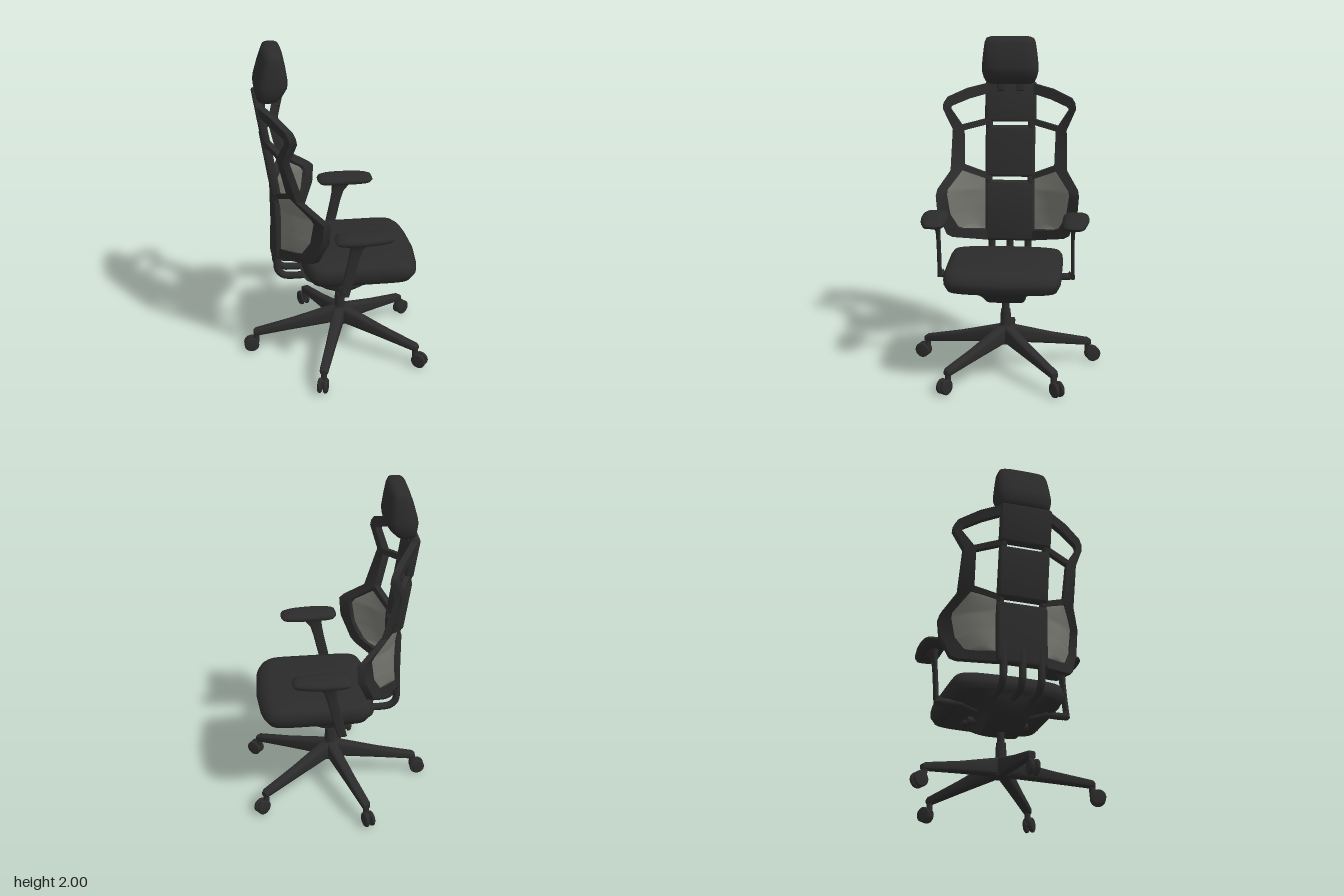
import * as THREE from 'three';
import { toCreasedNormals } from 'three/addons/utils/BufferGeometryUtils.js';
import { RoundedBoxGeometry } from 'three/addons/geometries/RoundedBoxGeometry.js';
import { ParametricGeometry } from 'three/addons/geometries/ParametricGeometry.js';

const V = (x, y, z) => new THREE.Vector3(x, y, z);

// Piecewise linear lookup in rows of [key, value, ...], keys ascending
function lookup(rows, key, col) {
  let i = 0;
  while (i < rows.length - 2 && key > rows[i + 1][0]) i++;
  const a = rows[i], b = rows[i + 1];
  const t = THREE.MathUtils.clamp((key - a[0]) / (b[0] - a[0]), 0, 1);
  return a[col] + (b[col] - a[col]) * t;
}

// Back surface: [height, x on the centre panel, forward slope of the wings]
const BACK = [
  [0.72, -0.30, 0.78], [0.785, -0.30, 0.78], [0.945, -0.295, 0.84], [1.06, -0.30, 0.86],
  [1.18, -0.32, 0.57], [1.43, -0.36, 0.4], [1.57, -0.385, 0.56], [1.7, -0.405, 0.56],
];
const backX = (y, z = 0) =>
  lookup(BACK, y, 1) + lookup(BACK, y, 2) * Math.max(0, Math.abs(z) - 0.15);

// Closed skin over equal-sized rings of points, turned to face outwards
function skin(rings, crease = 0.6) {
  const n = rings[0].length, pos = [], idx = [];
  for (const ring of rings) for (const p of ring) pos.push(p.x, p.y, p.z);
  for (let r = 0; r < rings.length - 1; r++) {
    for (let i = 0; i < n; i++) {
      const a = r * n + i, c = r * n + (i + 1) % n;
      idx.push(a, a + n, c, c, a + n, c + n);
    }
  }
  [0, rings.length - 1].forEach((r, end) => {
    const mid = rings[r].reduce((s, p) => s.add(p), V(0, 0, 0)).divideScalar(n);
    const m = pos.length / 3;
    pos.push(mid.x, mid.y, mid.z);
    for (let i = 0; i < n; i++) {
      const a = r * n + i, b = r * n + (i + 1) % n;
      idx.push(m, end ? b : a, end ? a : b);
    }
  });
  const pt = (i) => V(pos[3 * i], pos[3 * i + 1], pos[3 * i + 2]);
  let volume = 0;
  for (let i = 0; i < idx.length; i += 3) {
    volume += pt(idx[i]).dot(pt(idx[i + 1]).cross(pt(idx[i + 2])));
  }
  if (volume < 0) idx.reverse();
  const g = new THREE.BufferGeometry();
  g.setAttribute('position', new THREE.Float32BufferAttribute(pos, 3));
  g.setIndex(idx);
  return toCreasedNormals(g, crease);
}

// Stack of rounded-rectangle sections [y, centre x, centre z, half x, half z]
function loft(sections, power, bend = (p) => p, crease = 0.8, sides = 40) {
  return skin(sections.map(([y, cx, cz, rx, rz]) =>
    Array.from({ length: sides }, (_, i) => {
      const a = (i / sides) * Math.PI * 2, c = Math.cos(a), s = Math.sin(a);
      const k = (v) => Math.sign(v) * Math.pow(Math.abs(v), 2 / power);
      return bend(V(cx + rx * k(c), y, cz + rz * k(s)));
    })), crease);
}

// Flat bar on the back surface from pairs [outer y, outer z, inner y, inner z]
function band(pairs, side, thick) {
  return skin(pairs.map(([oy, oz, iy, iz]) => [
    V(backX(oy, oz), oy, side * oz), V(backX(iy, iz), iy, side * iz),
    V(backX(iy, iz) - thick, iy, side * iz), V(backX(oy, oz) - thick, oy, side * oz),
  ]));
}

// Padded slab that leans with the back
function slab(y0, y1, z0, z1, thick) {
  const h = y1 - y0;
  const g = new RoundedBoxGeometry(thick, h, z1 - z0, 3, Math.min(0.018, h * 0.4, thick * 0.4));
  g.translate(-thick / 2, (y0 + y1) / 2, (z0 + z1) / 2);
  const p = g.attributes.position;
  for (let i = 0; i < p.count; i++) p.setX(i, p.getX(i) + backX(p.getY(i)));
  g.computeVertexNormals();
  return toCreasedNormals(g, 0.7);
}

export function createModel() {
  const black = new THREE.MeshStandardMaterial({ color: 0x2b2b2b });
  black.name = 'black';
  const grey = new THREE.MeshStandardMaterial({ color: 0x74746e, side: THREE.DoubleSide });
  grey.name = 'grey mesh';
  const model = new THREE.Group();
  model.name = 'officeChair';
  const add = (name, geo, parent = model, mat = black) => {
    const m = new THREE.Mesh(geo, mat);
    m.name = name;
    parent.add(m);
    return m;
  };
  const HUB = 0.057;

  // Column and hub
  const cylinder = (name, r0, r1, y0, y1) =>
    add(name, new THREE.CylinderGeometry(r1, r0, y1 - y0, 28)).position.set(HUB, (y0 + y1) / 2, 0);
  cylinder('hub', 0.055, 0.04, 0.17, 0.285);
  cylinder('columnSleeve', 0.034, 0.03, 0.25, 0.38);
  cylinder('gasLift', 0.022, 0.022, 0.37, 0.47);

  // Five spokes with twin-wheel casters
  const spokeGeo = loft([
    [0.01, -0.23, 0, 0.06, 0.036], [0.06, -0.222, 0, 0.053, 0.036],
    [0.3, -0.172, 0, 0.034, 0.03], [0.53, -0.128, 0, 0.022, 0.026], [0.545, -0.125, 0, 0.015, 0.018],
  ], 4, (p) => V(p.y, -p.x, p.z), 0.6, 24);
  const wheelGeo = new THREE.LatheGeometry([[0, -0.012], [0.038, -0.012], [0.046, -0.006],
    [0.046, 0.006], [0.038, 0.012], [0, 0.012]].map(([x, y]) => new THREE.Vector2(x, y)), 24);
  wheelGeo.rotateX(Math.PI / 2);
  for (let i = 0; i < 5; i++) {
    const leg = new THREE.Group();
    leg.name = 'baseLeg';
    leg.position.x = HUB;
    leg.rotation.y = Math.PI + (i * Math.PI * 2) / 5;
    model.add(leg);
    add('spoke', spokeGeo, leg);
    add('casterStem', new THREE.CylinderGeometry(0.018, 0.018, 0.08, 16), leg).position.set(0.528, 0.095, 0);
    for (const s of [-1, 1]) add('casterWheel', wheelGeo, leg).position.set(0.56, 0.046, s * 0.018);
    add('casterHood', new THREE.BoxGeometry(0.06, 0.05, 0.02), leg).position.set(0.55, 0.055, 0);
  }

  // Tilt mechanism and seat
  add('tiltMechanism', loft([
    [0.445, 0.065, 0, 0.07, 0.115], [0.465, 0.06, 0, 0.12, 0.125], [0.5, 0.07, 0, 0.19, 0.13],
    [0.55, 0.09, 0, 0.265, 0.16], [0.58, 0.11, 0, 0.29, 0.24], [0.61, 0.13, 0, 0.33, 0.31],
  ], 5));
  add('seat', loft([
    [0.59, 0.155, 0, 0.29, 0.29], [0.6, 0.155, 0, 0.325, 0.325], [0.64, 0.155, 0, 0.354, 0.344],
    [0.665, 0.155, 0, 0.354, 0.346], [0.695, 0.15, 0, 0.338, 0.342], [0.715, 0.143, 0, 0.318, 0.328],
    [0.724, 0.14, 0, 0.285, 0.29],
  ], 9, (p) => {
    p.x = 0.155 + (p.x - 0.155) * (1 - 0.11 * (p.z / 0.345) ** 2);
    return p;
  }, 0.9, 72));

  // Hooked bars joining the back to the mechanism
  for (const z of [-0.115, 0, 0.115]) {
    const path = new THREE.CatmullRomCurve3([[-0.335, 0.86], [-0.342, 0.68], [-0.335, 0.62],
      [-0.30, 0.587], [-0.25, 0.58], [-0.15, 0.58]].map(([x, y]) => V(x, y, z)));
    add('backBar', new THREE.TubeGeometry(path, 24, 0.022, 12));
  }

  // Padded centre panel in three slabs, bridged at the gaps
  add('lowerBackPad', slab(0.715, 1.1, -0.155, 0.155, 0.055));
  add('middleBackPad', slab(1.125, 1.44, -0.155, 0.155, 0.055));
  add('upperBackPad', slab(1.465, 1.71, -0.16, 0.16, 0.05));

  const FRAME = [
    [1.7, 0.14, 1.64, 0.14], [1.675, 0.27, 1.615, 0.25], [1.63, 0.385, 1.58, 0.35],
    [1.6, 0.405, 1.57, 0.362], [1.565, 0.408, 1.555, 0.362], [1.43, 0.352, 1.43, 0.285],
    [1.185, 0.36, 1.195, 0.278], [1.09, 0.43, 1.08, 0.372], [1.06, 0.436, 1.05, 0.375],
    [0.945, 0.428, 0.92, 0.357], [0.8, 0.378, 0.83, 0.312], [0.775, 0.345, 0.815, 0.28],
    [0.72, 0.14, 0.785, 0.14],
  ];
  // Mesh edges: [parameter, frame y, frame z, panel y]
  const WEB = [[0, 1.2, 0.28, 1.13], [0.25, 1.08, 0.378, 1.05], [0.5, 0.92, 0.362, 0.95],
    [0.75, 0.825, 0.315, 0.85], [1, 0.775, 0.15, 0.775]];

  for (const s of [-1, 1]) {
    // Winged back frame with struts and mesh
    const wing = new THREE.Group();
    wing.name = s > 0 ? 'backWingAtPlusZ' : 'backWingAtMinusZ';
    model.add(wing);
    add('wingFrame', band(FRAME, s, 0.042), wing);
    add('upperStrut', band([[1.485, 0.14, 1.45, 0.14], [1.45, 0.31, 1.415, 0.31]], s, 0.035), wing);
    add('middleStrut', band([[1.145, 0.14, 1.112, 0.14], [1.22, 0.3, 1.185, 0.3]], s, 0.035), wing);
    for (const y of [1.11, 1.452]) {
      const z = s > 0 ? [0.11, 0.153] : [-0.153, -0.11];
      add('panelBridge', slab(y - 0.035, y + 0.035, z[0], z[1], 0.045), wing);
    }
    add('meshPanel', new ParametricGeometry((u, v, target) => {
      const fy = lookup(WEB, u, 1), fz = lookup(WEB, u, 2), py = lookup(WEB, u, 3);
      const y = fy + (py - fy) * v, z = fz + (0.148 - fz) * v;
      const x = THREE.MathUtils.lerp(backX(fy, fz), backX(py), v);
      target.set(x - 0.022 - 0.035 * Math.sin(Math.PI * v) * Math.sin(Math.PI * u), y, s * z);
    }, 24, 8), wing, grey);

    // Armrest: bracket, post and pad
    const arm = new THREE.Group();
    arm.name = s > 0 ? 'armrestAtPlusZ' : 'armrestAtMinusZ';
    model.add(arm);
    const bracket = new THREE.CatmullRomCurve3([[0.55, 0.14], [0.56, 0.19], [0.583, 0.25],
      [0.585, 0.36], [0.588, 0.39], [0.61, 0.404]].map(([y, z]) => V(0.025, y, s * z)));
    add('armBracket', new THREE.TubeGeometry(bracket, 24, 0.022, 12), arm);
    add('armPost', loft([
      [0.575, 0.028, s * 0.407, 0.028, 0.012], [0.7, 0.057, s * 0.405, 0.032, 0.011],
      [0.82, 0.083, s * 0.405, 0.033, 0.011], [0.88, 0.097, s * 0.406, 0.037, 0.012],
      [0.915, 0.112, s * 0.41, 0.05, 0.02], [0.948, 0.125, s * 0.415, 0.07, 0.035],
    ], 4, undefined, 0.8, 24), arm);
    add('armPad', loft([
      [0.936, 0.145, s * 0.423, 0.13, 0.05], [0.945, 0.145, s * 0.423, 0.165, 0.071],
      [0.96, 0.145, s * 0.423, 0.176, 0.08], [0.973, 0.145, s * 0.423, 0.17, 0.076],
      [0.984, 0.145, s * 0.423, 0.145, 0.06], [0.988, 0.145, s * 0.423, 0.09, 0.035],
    ], 4, (p) => {
      // outer edge narrows toward the front
      const over = Math.max(0, p.x - 0.14) / 0.18;
      if (s * p.z > 0.423) p.z -= s * 0.022 * over * ((s * p.z - 0.423) / 0.08);
      return p;
    }, 1), arm);

    // Adjustment knob and lever under the seat
    const knob = add('adjustmentKnob', new THREE.CylinderGeometry(0.026, 0.026, 0.06, 18), arm);
    knob.rotation.x = Math.PI / 2;
    knob.position.set(0.13, 0.53, s * 0.155);
    add('adjustmentLever', new RoundedBoxGeometry(0.07, 0.05, 0.05, 2, 0.015), arm).position.set(0.225, 0.555, s * 0.17);

    // Headrest mount
    add('headrestMount', new RoundedBoxGeometry(0.035, 0.1, 0.05, 2, 0.01)).position.set(-0.405, 1.705, s * 0.06);
  }

  // Headrest
  add('headrest', loft([
    [1.708, -0.375, 0, 0.045, 0.13], [1.718, -0.375, 0, 0.062, 0.15], [1.75, -0.363, 0, 0.082, 0.165],
    [1.79, -0.354, 0, 0.096, 0.174], [1.82, -0.35, 0, 0.095, 0.174], [1.9, -0.345, 0, 0.078, 0.166],
    [1.965, -0.34, 0, 0.06, 0.157], [1.99, -0.34, 0, 0.05, 0.146], [2.0, -0.338, 0, 0.03, 0.12],
  ], 3.6, undefined, 1));
  return model;
}
